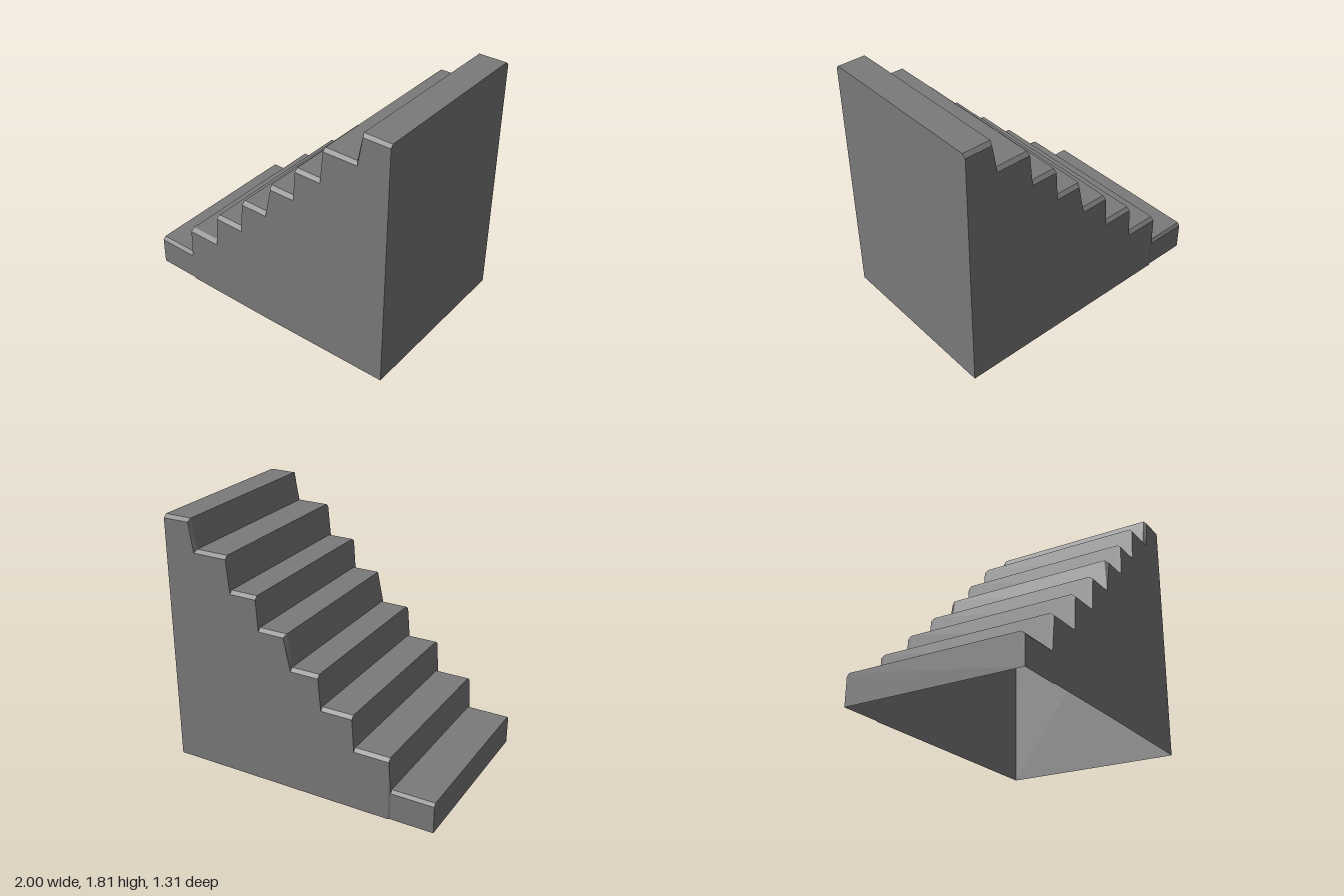
import * as THREE from 'three';

// Each step: tread height, tread start x, tread end x,
// and how far the wall edge of its riser is set back at the tread start and end
const STEPS = [
  [0.22, -1, -0.69, 0, 0],
  [0.455, -0.675, -0.42, 0, 0],
  [0.69, -0.405, -0.175, 0, 0],
  [0.92, -0.155, 0.05, 0, 0.003],
  [1.15, 0.085, 0.29, 0.017, 0],
  [1.37, 0.305, 0.502, 0, 0],
  [1.605, 0.525, 0.76, 0, 0.018],
  [1.81, 0.8, 1, 0.012, 0],
];
const BEVEL = 0.022;

// The side walls bow very slightly along the flight
const frontZ = (x) => (x < -0.685 ? 0.645 : 0.652 - 0.012 * Math.max(0, x));
const backZ = (x) => (x < -0.685 ? -0.647 : -0.655);

// One cross-section, from the front bottom edge over the tread to the back bottom edge
function section(x, y, lean, setback) {
  const xo = x - lean * BEVEL + setback; // keeps the bevel corner on the leaning riser
  const f = frontZ(x), b = backZ(x);
  return [
    [xo, 0, f],
    [xo, y - BEVEL, f],
    [x, y, 0.623],
    [x, y, -0.63],
    [xo, y - BEVEL, b],
    [xo, 0, b],
  ].map((p) => new THREE.Vector3(...p));
}

function trianglesMesh(name, points, material) {
  const geometry = new THREE.BufferGeometry().setFromPoints(points);
  geometry.computeVertexNormals();
  const mesh = new THREE.Mesh(geometry, material);
  mesh.name = name;
  return mesh;
}

export function createModel() {
  const group = new THREE.Group();
  group.name = 'staircase';
  const material = new THREE.MeshStandardMaterial({
    color: 0x7a7a7a, flatShading: true, side: THREE.DoubleSide,
  });

  // Lean of the riser from step i up to the next; the two ends are upright
  const lean = (i) => {
    const low = STEPS[i], high = STEPS[i + 1];
    return low && high ? (high[1] - low[2]) / (high[0] - low[0]) : 0;
  };
  const rows = STEPS.flatMap(([y, x0, x1, back0, back1], i) => [
    section(x0, y, lean(i - 1), back0),
    section(x1, y, lean(i), back1),
  ]);

  // Strips running along the flight; the underside stays open
  const strips = ['frontWall', 'frontBevel', 'treadsAndRisers', 'backBevel', 'backWall'];
  strips.forEach((name, k) => {
    const points = [];
    for (let i = 0; i < rows.length - 1; i++) {
      const a = rows[i], b = rows[i + 1];
      points.push(a[k], b[k], b[k + 1], a[k], b[k + 1], a[k + 1]);
    }
    group.add(trianglesMesh(name, points, material));
  });

  // Flat ends: the low face of the first step and the tall wall under the top step
  const cap = (name, loop) => {
    const points = [];
    for (let i = 1; i < loop.length - 1; i++) points.push(loop[0], loop[i], loop[i + 1]);
    group.add(trianglesMesh(name, points, material));
  };
  cap('lowEnd', rows[0]);
  cap('tallEnd', [...rows[rows.length - 1]].reverse());

  return group;
}
